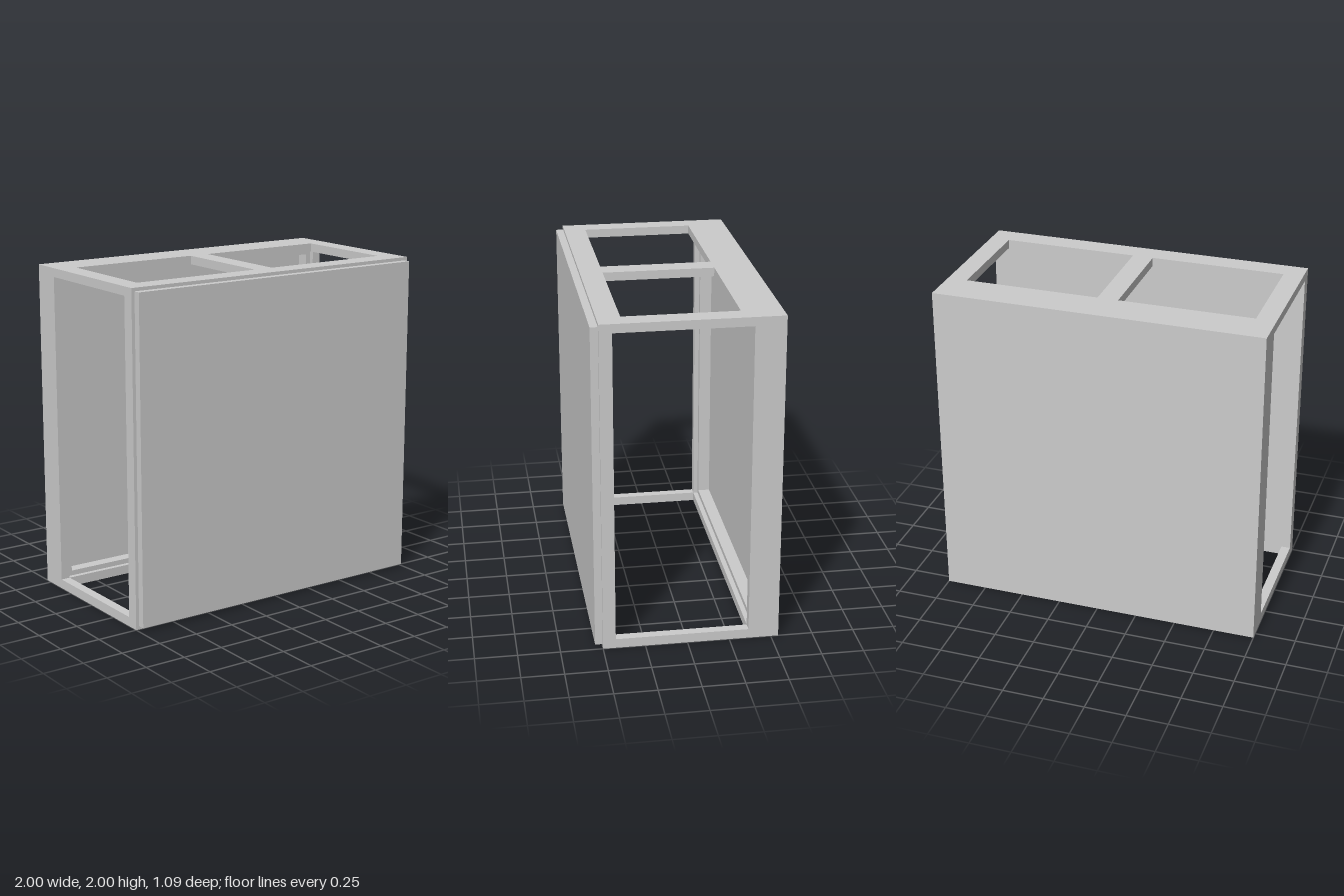
import * as THREE from 'three';

const material = new THREE.MeshStandardMaterial({ color: 0xcccccc, flatShading: true });

// Rectangle outline from opposite corners
function rect(Type, [u0, v0, u1, v1]) {
  return new Type([
    new THREE.Vector2(u0, v0), new THREE.Vector2(u1, v0),
    new THREE.Vector2(u1, v1), new THREE.Vector2(u0, v1),
  ]);
}

// Plate with rectangular openings, extruded along +z from 0 to depth
function plate(outer, holes, depth) {
  const shape = rect(THREE.Shape, outer);
  for (const h of holes) shape.holes.push(rect(THREE.Path, h));
  return new THREE.ExtrudeGeometry(shape, { depth, bevelEnabled: false });
}

// Upright plate between z0 and z1
function upright(outer, holes, z0, z1) {
  return plate(outer, holes, z1 - z0).translate(0, 0, z0);
}

// Level plate between y0 and y1; outlines are given as x, -z
function level(outer, holes, y0, y1) {
  return plate(outer, holes, y1 - y0).rotateX(-Math.PI / 2).translate(0, y0, 0);
}

export function createModel() {
  const group = new THREE.Group();
  const add = (name, geometry) => {
    const mesh = new THREE.Mesh(geometry, material);
    mesh.name = name;
    group.add(mesh);
  };

  const low = 0.057, high = 1.947;
  const footprint = [-1, -0.5, 1, 0.545];
  const wall = [-1, low, 1, high];

  // Top with two openings and bottom with one large opening
  add('topFrame', level(footprint, [
    [-0.88, -0.365, -0.063, 0.307],
    [0.063, -0.365, 0.88, 0.307],
  ], high, 2));
  add('bottomFrame', level(footprint, [[-0.943, -0.425, 0.943, 0.365]], 0, low));

  // Front wall with its slightly smaller raised panel
  add('frontWall', upright(wall, [], 0.425, 0.5));
  add('frontPanel', upright([-0.98, 0.02, 0.98, 1.98], [], 0.5, 0.545));

  // Back wall, recessed in two steps on the inside
  add('backPanel', upright(wall, [], -0.545, -0.47));
  add('backInnerFrame', upright(wall, [[-0.91, 0.088, 0.91, 1.916]], -0.47, -0.395));
  for (const side of [-1, 1]) {
    const post = new THREE.BoxGeometry(0.057, high - low, 0.03);
    post.translate(side * 0.9715, (low + high) / 2, -0.38);
    add(side > 0 ? 'backPostLeft' : 'backPostRight', post);
  }

  return group;
}
